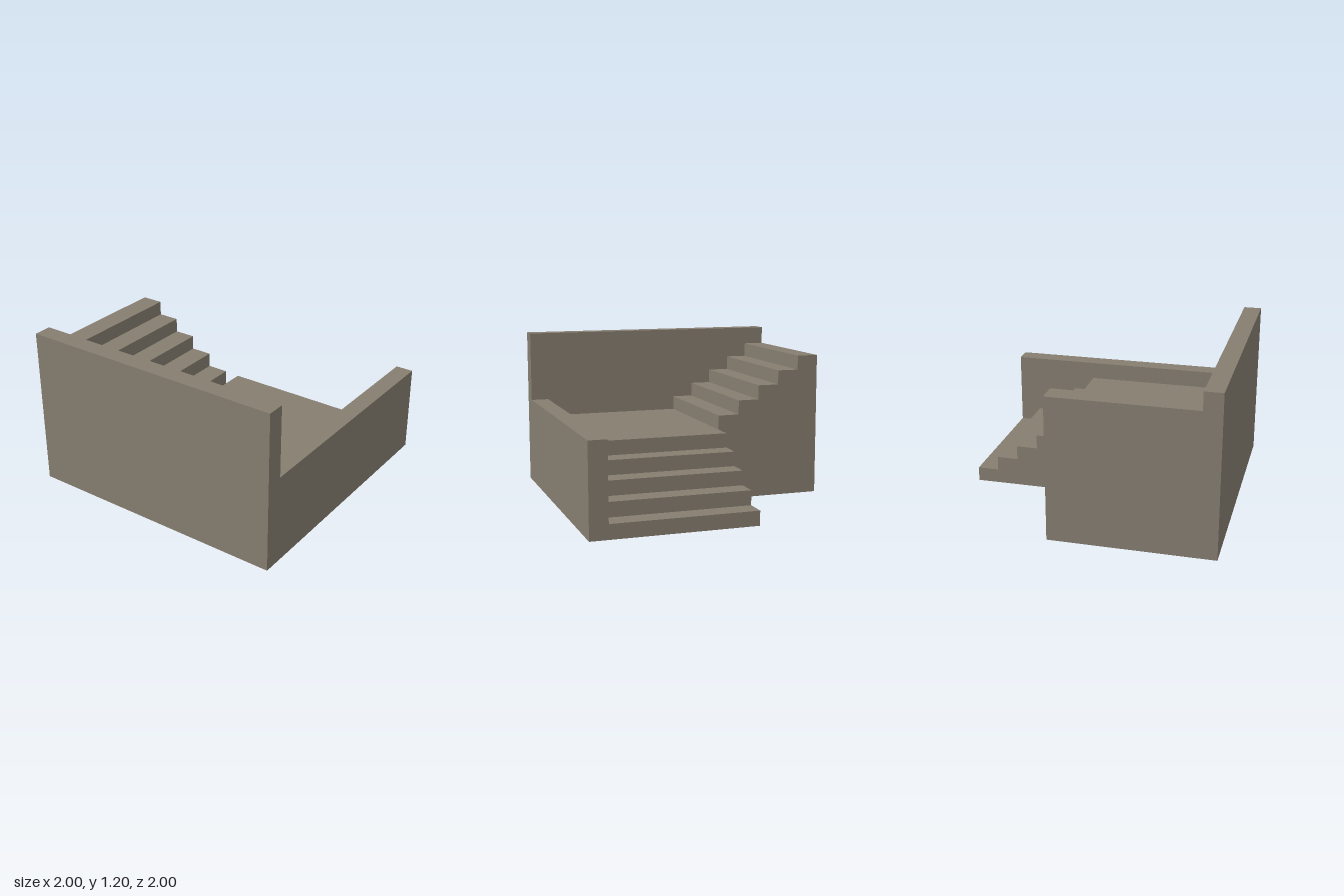
import * as THREE from 'three';

const STEPS = 5, RISE = 0.32 / 3, TREAD = 0.16, WALL = 0.1333, INNER = 1 - WALL;
const LANDING = STEPS * RISE, CORNER = -0.2;

// Extrude a closed 2D outline into a solid
function solid(points, depth, material, name) {
  const shape = new THREE.Shape(points.map(([x, y]) => new THREE.Vector2(x, y)));
  const geometry = new THREE.ExtrudeGeometry(shape, { depth, bevelEnabled: false });
  const mesh = new THREE.Mesh(geometry, material);
  mesh.name = name;
  return mesh;
}

// Box from its minimum and maximum corners
function block(min, max, material, name) {
  const size = max.map((v, i) => v - min[i]);
  const mesh = new THREE.Mesh(new THREE.BoxGeometry(...size), material);
  mesh.position.set(...min.map((v, i) => (v + max[i]) / 2));
  mesh.name = name;
  return mesh;
}

export function createModel() {
  const group = new THREE.Group();
  group.name = 'cornerStaircase';
  const stone = new THREE.MeshStandardMaterial({ color: 0x857d70 });
  stone.name = 'stone';

  // Lower flight climbing from the back, ending in the landing
  const lower = [[INNER, 0], [-1, 0]];
  for (let i = 0; i < STEPS; i++) {
    const y = (i + 1) * RISE;
    lower.push([-1 + i * TREAD, y]);
    lower.push([i === STEPS - 1 ? INNER : -1 + (i + 1) * TREAD, y]);
  }
  lower.reverse();
  const lowerFlight = solid(lower, INNER - CORNER, stone, 'lowerFlightAndLanding');
  lowerFlight.rotation.y = -Math.PI / 2;
  lowerFlight.position.x = INNER;
  group.add(lowerFlight);

  // Upper flight climbing from the landing toward -x
  const upper = [[-1, 0], [CORNER, 0]];
  for (let i = 0; i < STEPS; i++) {
    const y = LANDING + (i + 1) * RISE;
    upper.push([CORNER - i * TREAD, y], [CORNER - (i + 1) * TREAD, y]);
  }
  const upperFlight = solid(upper, INNER - CORNER, stone, 'upperFlight');
  upperFlight.position.z = CORNER;
  group.add(upperFlight);

  // Parapet walls
  group.add(block([-1, 0, INNER], [1, 1.2, 1], stone, 'frontWall'));
  group.add(block([INNER, 0, -1], [1, LANDING + WALL, INNER], stone, 'sideWall'));

  return group;
}
